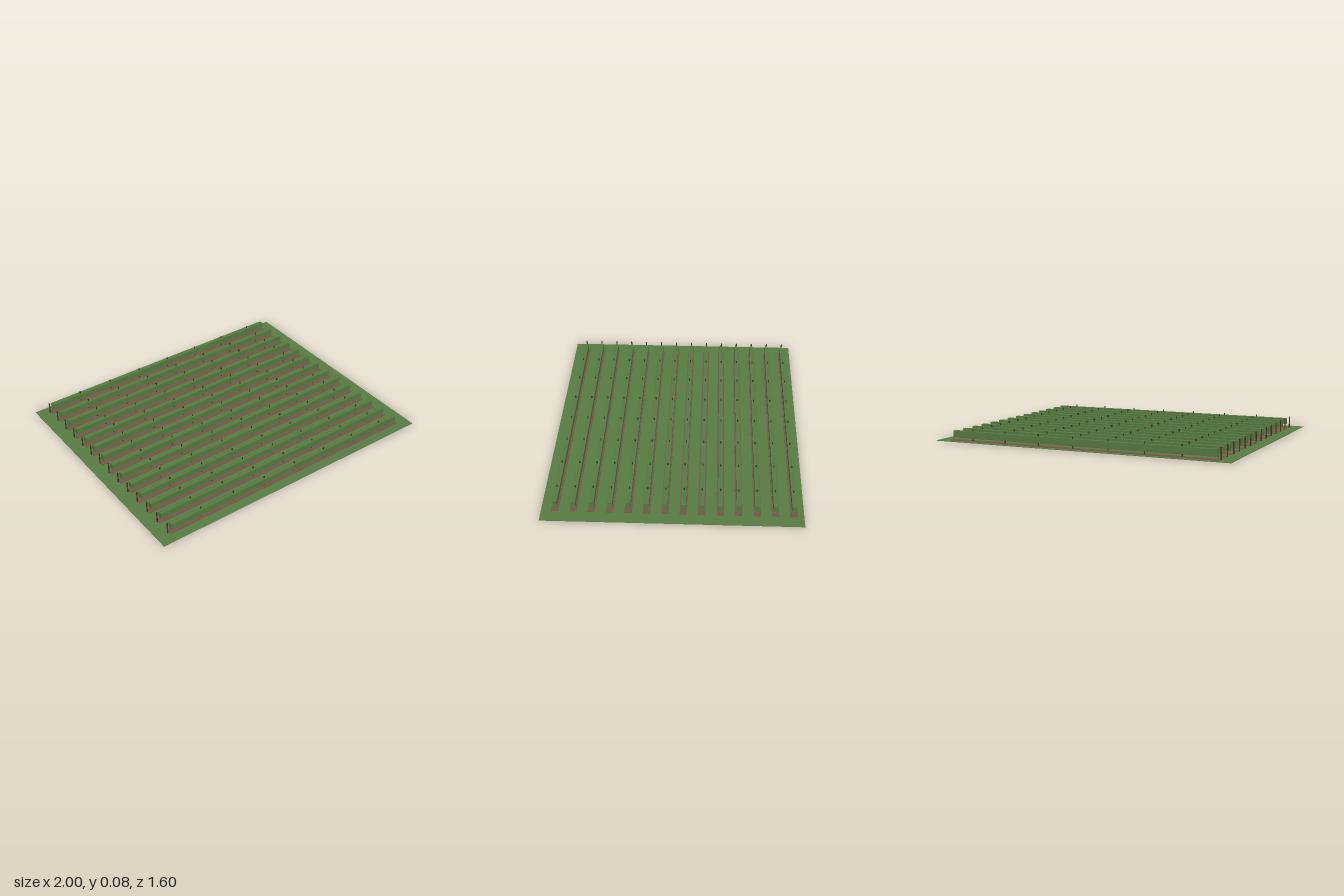
import * as THREE from 'three';

export function createModel() {
  const model = new THREE.Group();
  model.name = 'vineyardField';

  const material = (name, color) => {
    const m = new THREE.MeshStandardMaterial({ color });
    m.name = name;
    return m;
  };
  const grass = material('grass green', 0x587d43);
  const leaves = material('vine green', 0x557a40);
  const soil = material('soil brown', 0x795548);
  const wood = material('dark wood', 0x4a3028);

  const add = (parent, name, geometry, mat, x, y, z) => {
    const mesh = new THREE.Mesh(geometry, mat);
    mesh.name = name;
    mesh.position.set(x, y, z);
    parent.add(mesh);
  };

  // Thin grass field
  add(model, 'field', new THREE.BoxGeometry(2, 0.003, 1.6), grass, 0, 0.0015, 0);

  const soilGeometry = new THREE.BoxGeometry(1.83, 0.005, 0.045);
  const hedgeGeometry = new THREE.BoxGeometry(1.8, 0.041, 0.03);
  const postGeometry = new THREE.CylinderGeometry(0.004, 0.004, 0.077, 6);

  // Fourteen vine rows, each with a soil bed, a hedge and eight posts
  for (let i = 0; i < 14; i++) {
    const row = new THREE.Group();
    row.name = 'vineRow';
    row.position.z = -0.74 + i * 0.112;
    add(row, 'soilBed', soilGeometry, soil, 0, 0.0035, 0);
    add(row, 'vineHedge', hedgeGeometry, leaves, 0, 0.0455, 0);
    for (let j = 0; j < 8; j++) {
      add(row, 'post', postGeometry, wood, -0.92 + j * 0.24, 0.0415, 0);
    }
    model.add(row);
  }
  return model;
}
